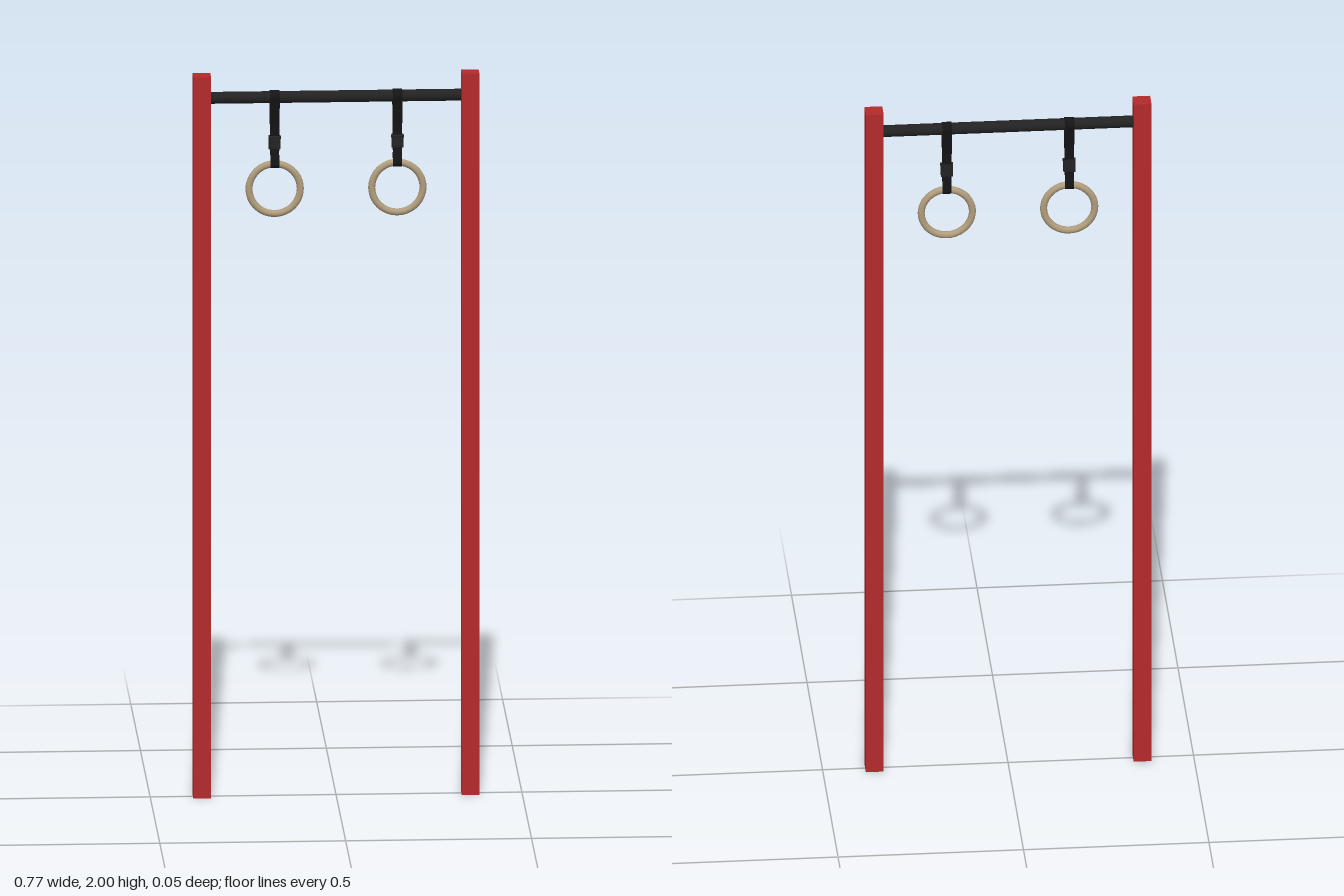
import * as THREE from 'three';

const BAR_Y = 1.937, RING_Y = 1.683, RING_R = 0.069, TUBE_R = 0.0095;

const mat = (name, color) => {
  const m = new THREE.MeshStandardMaterial({ color });
  m.name = name;
  return m;
};

// Teardrop outline: round end of radius r at y, narrowing to half-width w at tipY
function teardrop(target, r, y, w, tipY) {
  const up = y > tipY;
  target.moveTo(w, tipY);
  target.lineTo(r, y);
  target.absarc(0, y, r, 0, up ? Math.PI : -Math.PI, !up);
  target.lineTo(-w, tipY);
  target.closePath();
  return target;
}

// Webbing loop wrapped around a rod, extruded along x
function strapLoop(inner, thick, y, tipY, width) {
  const shape = teardrop(new THREE.Shape(), inner + thick, y, 0.004, tipY);
  const tip = tipY + Math.sign(y - tipY) * 0.008;
  shape.holes.push(teardrop(new THREE.Path(), inner, y, 0.001, tip));
  const g = new THREE.ExtrudeGeometry(shape, { depth: width, bevelEnabled: false, curveSegments: 16 });
  return g.translate(0, 0, -width / 2).rotateY(Math.PI / 2);
}

export function createModel() {
  const model = new THREE.Group();
  model.name = 'gymRingRack';
  const red = mat('red paint', 0xb22a2c);
  const steel = mat('black steel', 0x222222);
  const webbing = mat('black webbing', 0x141414);
  const wood = mat('pale wood', 0xb09c7c);

  const add = (parent, name, geo, material, x = 0, y = 0, z = 0) => {
    const mesh = new THREE.Mesh(geo, material);
    mesh.name = name;
    mesh.position.set(x, y, z);
    parent.add(mesh);
    return mesh;
  };

  // Crossbar between the posts
  const bar = new THREE.CylinderGeometry(0.016, 0.016, 0.68, 32).rotateZ(Math.PI / 2);
  add(model, 'crossbar', bar, steel, 0, BAR_Y, 0);

  for (const [side, s] of [['left', 1], ['right', -1]]) {
    // Square upright
    add(model, side + 'Post', new THREE.BoxGeometry(0.048, 2, 0.048), red, s * 0.361, 1, 0);

    // Hanging ring with its strap
    const hanger = new THREE.Group();
    hanger.name = side + 'RingHanger';
    hanger.position.x = s * 0.165;
    model.add(hanger);
    add(hanger, 'ring', new THREE.TorusGeometry(RING_R, TUBE_R, 16, 48), wood, 0, RING_Y, 0);
    add(hanger, 'barLoop', strapLoop(0.016, 0.0025, BAR_Y, 1.86, 0.026), webbing);
    add(hanger, 'strap', new THREE.BoxGeometry(0.026, 0.075, 0.008), webbing, 0, 1.825, 0);
    add(hanger, 'ringLoop', strapLoop(TUBE_R, 0.0025, RING_Y + RING_R, 1.79, 0.024), webbing);

    // Cam buckle: body, lever and pin
    add(hanger, 'buckle', new THREE.BoxGeometry(0.032, 0.036, 0.014), steel, 0, 1.812, 0);
    add(hanger, 'buckleLever', new THREE.BoxGeometry(0.022, 0.024, 0.006), steel, 0, 1.816, 0.009).rotation.x = -0.2;
    const pin = new THREE.CylinderGeometry(0.004, 0.004, 0.034, 12).rotateZ(Math.PI / 2);
    add(hanger, 'bucklePin', pin, steel, 0, 1.826, 0.007);
  }
  return model;
}
